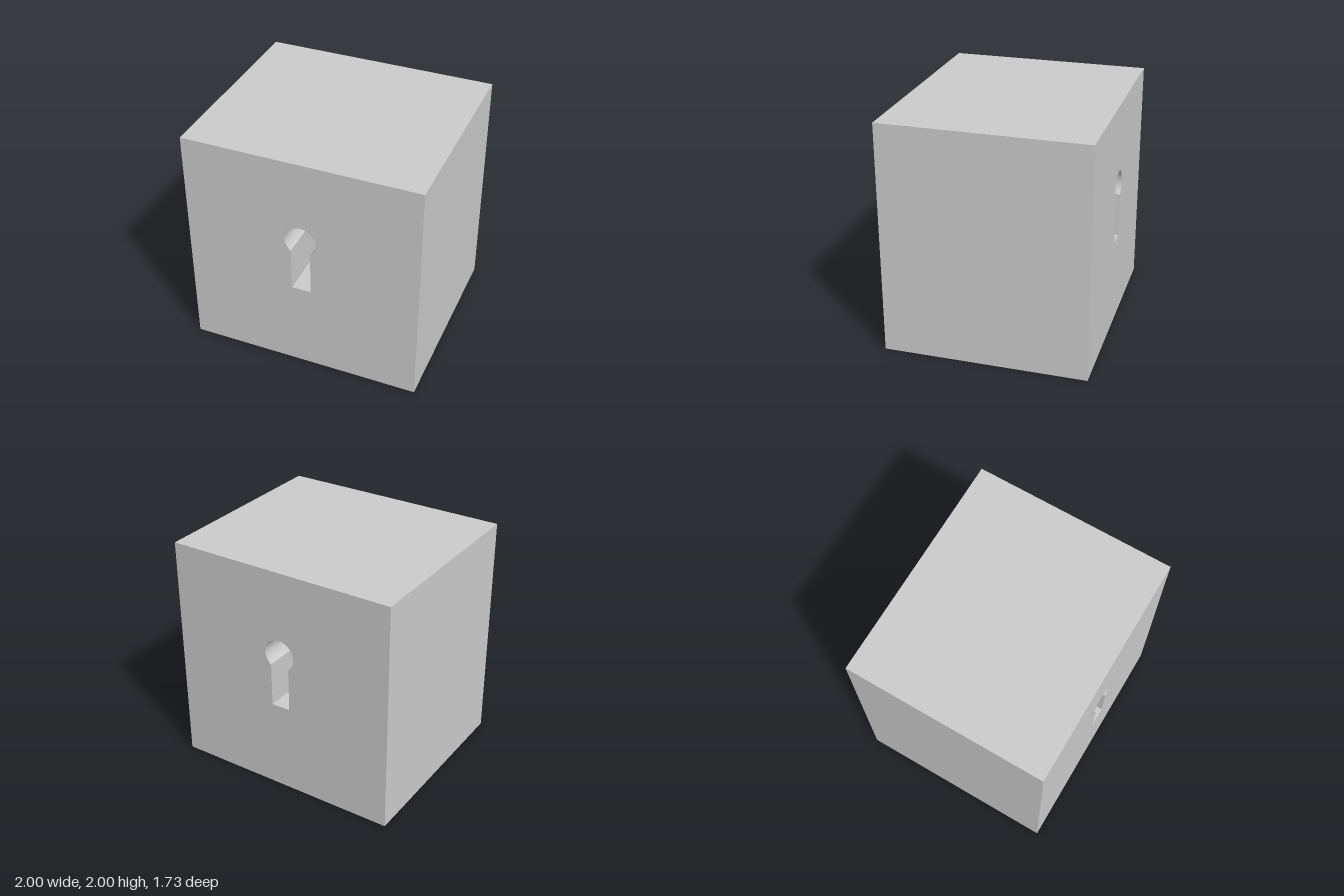
import * as THREE from 'three';
import { toCreasedNormals } from 'three/addons/utils/BufferGeometryUtils.js';

const DEPTH = 1.73;

// Keyhole outline: a round top that opens into a straight slot
function keyholePath(centreY, radius, halfSlot, bottomY) {
  const a = Math.acos(halfSlot / radius);
  const path = new THREE.Path();
  path.moveTo(-halfSlot, bottomY);
  path.lineTo(halfSlot, bottomY);
  path.lineTo(halfSlot, centreY - radius * Math.sin(a));
  path.absarc(0, centreY, radius, -a, Math.PI + a, false);
  path.closePath();
  return path;
}

export function createModel() {
  const group = new THREE.Group();
  group.name = 'keyholeBlock';

  // Square block face with the keyhole cut right through
  const face = new THREE.Shape();
  face.moveTo(-1, 0);
  face.lineTo(1, 0);
  face.lineTo(1, 2);
  face.lineTo(-1, 2);
  face.closePath();
  face.holes.push(keyholePath(1.27, 0.135, 0.083, 0.785));

  const solid = new THREE.ExtrudeGeometry(face, { depth: DEPTH, bevelEnabled: false, curveSegments: 48 });
  solid.translate(0, 0, -DEPTH / 2);

  // Smooth the round bore, keep the block edges sharp
  const block = new THREE.Mesh(
    toCreasedNormals(solid, 0.4),
    new THREE.MeshStandardMaterial({ color: 0xcccccc })
  );
  block.name = 'block';
  group.add(block);
  return group;
}
